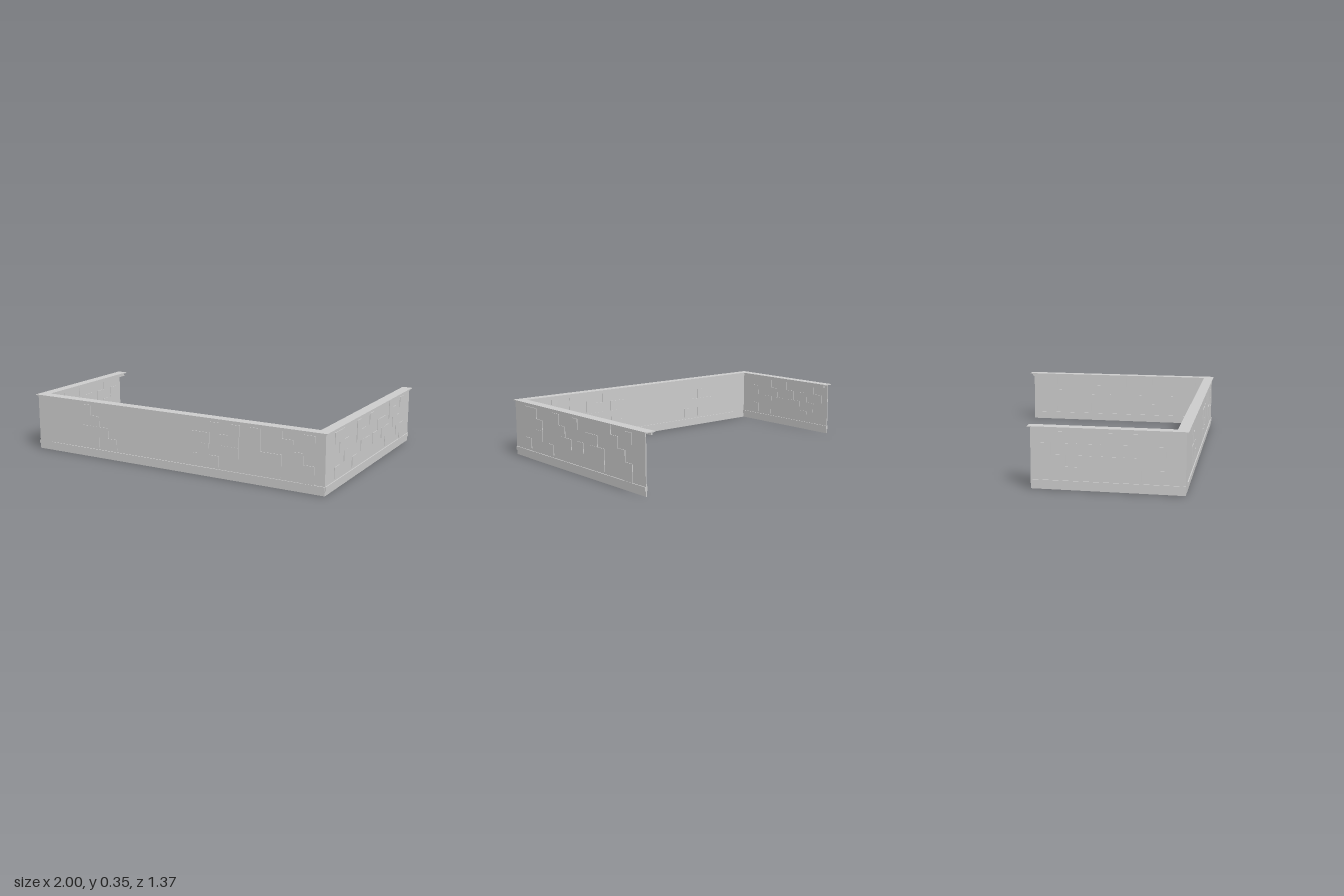
import * as THREE from 'three';

const CELL = 0.0655;                       // size of one relief tile
const ROWS = [0.262, 0.197, 0.131, 0.066]; // bottom of each tile row, top row first
const WALL = 0.006, RELIEF = 0.004, OVERHANG = 0.012, CAP_IN = 0.053;
const OUT_X = 0.988, OUT_Z = 0.673;        // outer wall faces

export function createModel() {
  const root = new THREE.Group();
  const mat = new THREE.MeshStandardMaterial({ color: 0xcccccc, flatShading: true });

  // u runs along the wall, n is the depth inward from its outer face
  const placers = {
    front: (u, y, n) => [u, y, OUT_Z - n],
    left: (u, y, n) => [OUT_X - n, y, u],
    right: (u, y, n) => [-OUT_X + n, y, u],
  };

  function buildWall(side, span, capSpan, lipSpan, railSpan, runs, stairs) {
    const group = new THREE.Group();
    group.name = side + 'Wall';
    const place = placers[side];
    const box = (name, [u0, u1], [y0, y1], [n0, n1]) => {
      const du = u1 - u0, dn = n1 - n0;
      const geo = side === 'front'
        ? new THREE.BoxGeometry(du, y1 - y0, dn)
        : new THREE.BoxGeometry(dn, y1 - y0, du);
      const mesh = new THREE.Mesh(geo, mat);
      mesh.name = name;
      mesh.position.set(...place((u0 + u1) / 2, (y0 + y1) / 2, (n0 + n1) / 2));
      group.add(mesh);
    };
    const depth = [-RELIEF, WALL + RELIEF];

    box('panel', span, [0, 0.346], [0, WALL]);
    box('cap', capSpan, [0.346, 0.351], [-OVERHANG, CAP_IN]);
    box('capLip', lipSpan, [0.328, 0.346], [CAP_IN - 0.016, CAP_IN - 0.006]);
    box('baseRail', railSpan, [0.03, 0.053], [-RELIEF - 0.002, WALL + RELIEF + 0.002]);

    // stepped relief tiles: [start, row, number of cells]
    for (const [u, row, count] of runs) {
      box('reliefTile', [u, u + count * CELL], [ROWS[row], ROWS[row] + CELL], depth);
    }
    // diagonal stair band running down from the cap
    if (stairs) {
      const [start, dir] = stairs;
      for (let i = 0; i < 4; i++) {
        const a = start + dir * i * CELL, b = a + dir * CELL;
        const top = i === 0 ? 0.346 : 0.354 - i * CELL;
        box('reliefStair', [Math.min(a, b), Math.max(a, b)],
          [Math.max(0.053, 0.225 - i * CELL), top], depth);
      }
    }
    root.add(group);
  }

  buildWall('front', [-OUT_X, OUT_X], [-1, 1], [-0.95, 0.95], [-0.89, OUT_X],
    [
      [-0.645, 0, 1], [-0.58, 1, 1], [-0.645, 2, 3], [-0.58, 3, 1], [-0.45, 3, 1],
      [0.27, 0, 1], [0.14, 1, 2], [0.2, 2, 1], [0.16, 3, 1], [0.265, 3, 1],
      [0.4, 0, 1], [0.33, 1, 2], [0.33, 2, 2],
      [0.53, 0, 1], [0.53, 1, 1], [0.595, 2, 2], [0.66, 3, 1], [0.86, 0, 1],
    ], [0.665, 1]);

  buildWall('left', [-0.665, OUT_Z - WALL], [-0.685, OUT_Z - CAP_IN],
    [-0.665, OUT_Z - CAP_IN], [-0.665, OUT_Z],
    [
      [0.422, 0, 2], [0.356, 1, 2], [0.356, 2, 1], [0.488, 3, 1], [0.234, 3, 1],
      [0.169, 0, 1], [0.105, 1, 2], [0.04, 2, 2], [-0.026, 0, 1], [-0.085, 2, 1],
      [-0.227, 1, 2], [-0.292, 2, 2], [-0.292, 3, 1], [-0.55, 0, 1],
    ], [-0.29, -1]);

  buildWall('right', [-0.18, OUT_Z - WALL], [-0.197, OUT_Z - CAP_IN],
    [-0.18, OUT_Z - CAP_IN], [-0.18, OUT_Z],
    [
      [0.5, 1, 1], [0.5, 3, 1], [0.37, 0, 1], [0.305, 1, 2], [0.37, 2, 1], [0.37, 3, 1],
      [0.21, 2, 2], [0.145, 1, 2], [0.21, 0, 1], [0.08, 2, 2], [0.015, 3, 1],
      [0.015, 1, 1], [-0.05, 0, 1], [-0.05, 2, 1], [-0.13, 1, 1],
    ], null);

  return root;
}
